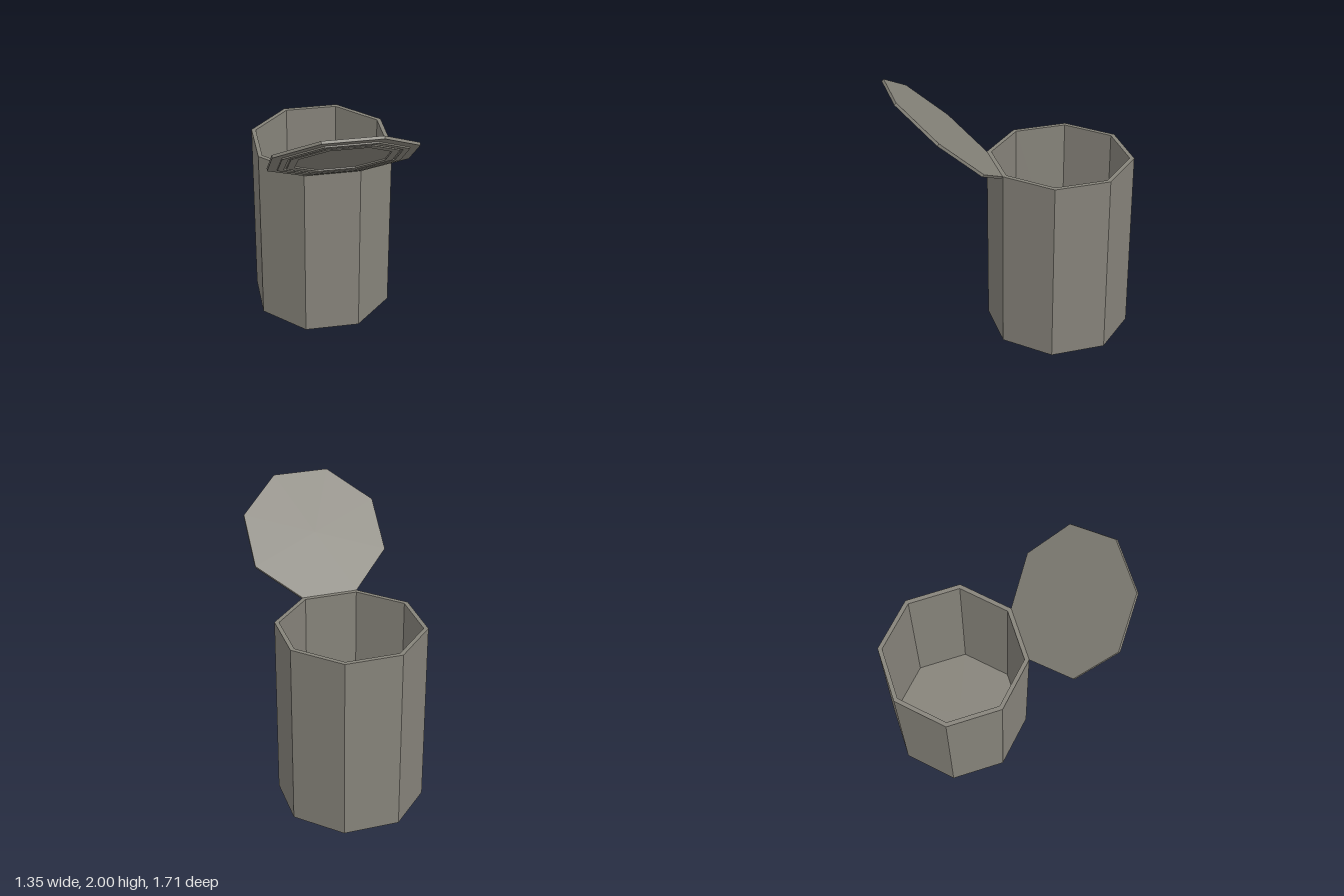
import * as THREE from 'three';

const SIDES = 8;
const RADIUS = 0.52;
const HEIGHT = 1.355;
const APOTHEM = RADIUS * Math.cos(Math.PI / SIDES);

// Eight-sided solid turned from a [radius, y] profile
function turned(name, profile, material, start = 0) {
  const points = profile.map(([r, y]) => new THREE.Vector2(r, y));
  const mesh = new THREE.Mesh(new THREE.LatheGeometry(points, SIDES, start), material);
  mesh.name = name;
  return mesh;
}

export function createModel() {
  const model = new THREE.Group();
  model.name = 'openCan';
  const metal = new THREE.MeshStandardMaterial({ color: 0x86837a });
  metal.name = 'warmGreyMetal';
  metal.flatShading = true;

  // Hollow body with a flat rim and a closed floor
  const wall = 0.488;
  const body = turned('canBody', [
    [0, 0], [RADIUS, 0], [RADIUS, HEIGHT], [wall, HEIGHT], [wall, 0.03], [0, 0.03],
  ], metal);
  body.position.set(0.153, 0, -0.34);
  model.add(body);

  // Lid folded back about one rim edge
  const turn = -Math.PI / SIDES;
  const hinge = new THREE.Group();
  hinge.name = 'lidHinge';
  hinge.position.set(
    body.position.x + Math.sin(turn) * APOTHEM, HEIGHT, body.position.z + Math.cos(turn) * APOTHEM);
  hinge.rotation.set(THREE.MathUtils.degToRad(-42.2), turn, 0, 'YXZ');
  model.add(hinge);

  // Plate with two raised rings on its outer (now lower) face
  const face = -0.02, ridge = -0.03;
  const lid = turned('lid', [
    [0, face], [0.33, face], [0.33, ridge], [0.385, ridge], [0.385, face],
    [0.405, face], [0.405, ridge], [0.45, ridge], [0.45, face],
    [RADIUS, face], [RADIUS, 0], [0, 0],
  ], metal, Math.PI / SIDES);
  lid.position.z = APOTHEM;
  hinge.add(lid);

  return model;
}
